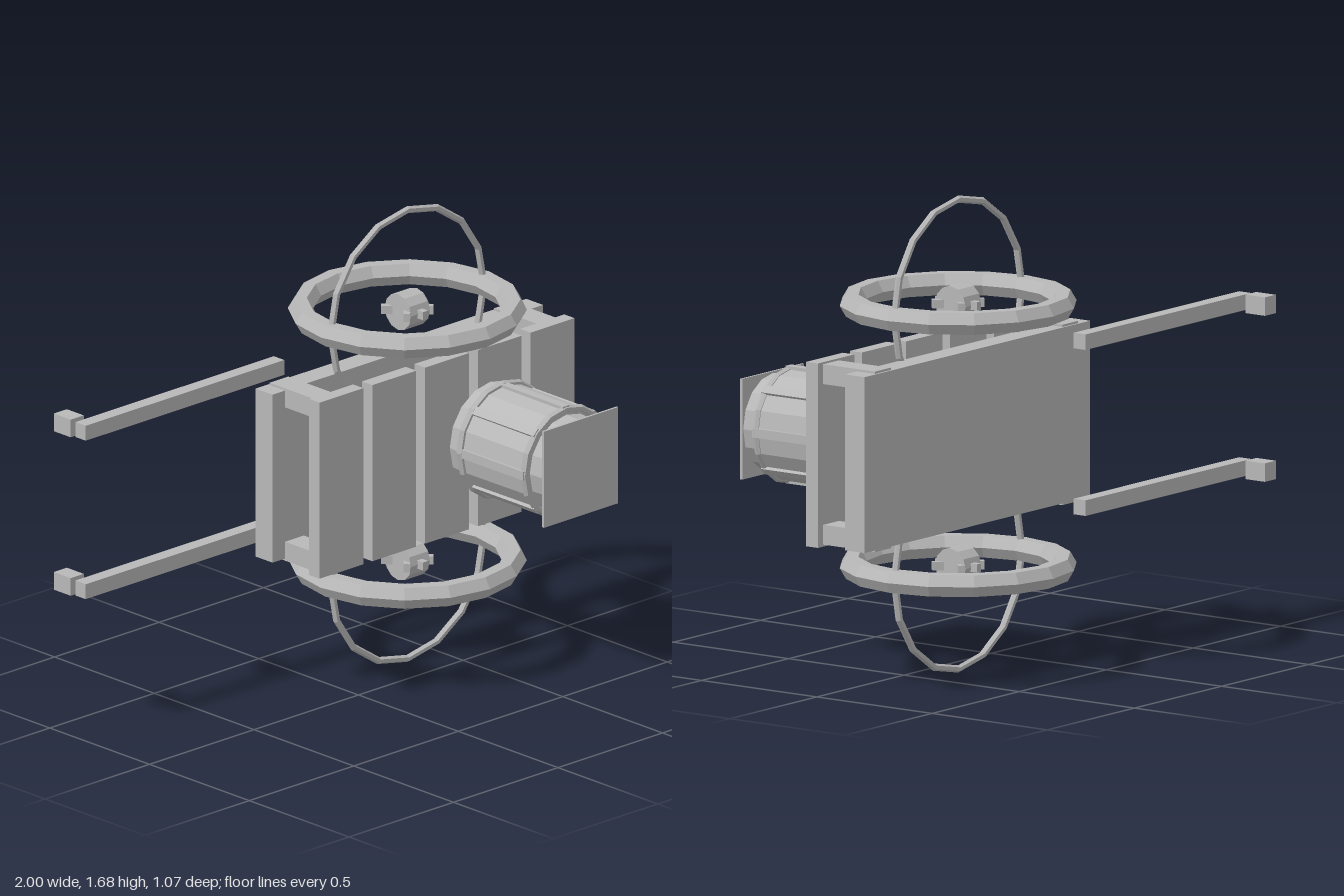
import * as THREE from 'three';

export function createModel() {
  const group = new THREE.Group();
  const grey = new THREE.MeshStandardMaterial({ color: 0xb8b8b8, flatShading: true });
  grey.name = 'plain grey';

  const add = (name, geometry, x, y, z, parent = group) => {
    const mesh = new THREE.Mesh(geometry, grey);
    mesh.name = name;
    mesh.position.set(x, y, z);
    parent.add(mesh);
    return mesh;
  };
  // box given by its limits on each axis
  const box = (name, x0, x1, y0, y1, z0, z1) =>
    add(name, new THREE.BoxGeometry(x1 - x0, y1 - y0, z1 - z0),
      (x0 + x1) / 2, (y0 + y1) / 2, (z0 + z1) / 2);

  const midY = 0.85, wheelX = 0.35, wheelZ = -0.122;

  // cart bed: solid board and five planks
  box('bedBoard', -0.295, 1, 0.54, 1.16, -0.207, -0.122);
  for (let i = 0; i < 5; i++) {
    const x = -0.26 + i * 0.2525;
    box('plank', x, x + 0.21, 0.525, 1.175, 0.025, 0.077);
  }

  // small axle discs between board and planks
  for (const x of [-0.11, 0.81])
    add('axleDisc', new THREE.CylinderGeometry(0.042, 0.042, 0.008, 12).rotateZ(Math.PI / 2), x, midY, wheelZ);

  // everything mirrored about the middle of the cart
  for (const s of [-1, 1]) {
    const pair = (a, b) => [midY + s * a, midY + s * b].sort((p, q) => p - q);

    // corner posts
    for (const x of [-0.235, 0.84])
      box('post', x, x + 0.09, ...pair(0.248, 0.318), -0.2, 0.026);

    // handle and its grip
    box('handle', -0.995, -0.045, ...pair(0.265, 0.32), -0.377, -0.325);
    box('grip', -1, -0.937, ...pair(0.26, 0.325), -0.48, -0.395);

    // wheel rim and the thin crossing hoop
    const y = midY + s * 0.462;
    const wheel = new THREE.Group();
    wheel.name = 'wheel';
    wheel.position.set(wheelX, y, wheelZ);
    group.add(wheel);
    add('rim', new THREE.TorusGeometry(0.37, 0.044, 6, 16).rotateX(Math.PI / 2), 0, 0, 0, wheel);
    add('thinHoop', new THREE.TorusGeometry(0.366, 0.013, 6, 16), 0, 0, 0, wheel);

    // hub with spoke stubs
    add('hub', new THREE.CylinderGeometry(0.066, 0.066, 0.09, 12).rotateZ(Math.PI / 2), 0, 0, 0, wheel);
    for (const degrees of [45, 90, 135, 225, 270, 315]) {
      const a = degrees * Math.PI / 180;
      const stub = add('spokeStub', new THREE.BoxGeometry(0.05, 0.03, 0.024),
        Math.cos(a) * 0.066, 0, Math.sin(a) * 0.066, wheel);
      stub.rotation.y = -a;
    }
  }

  // barrel lying along z
  const barrel = new THREE.Group();
  barrel.name = 'barrel';
  barrel.position.set(0.555, midY, 0);
  group.add(barrel);
  const drum = (name, r0, r1, z0, z1) =>
    add(name, new THREE.CylinderGeometry(r1, r0, z1 - z0, 16).rotateX(Math.PI / 2), 0, 0, (z0 + z1) / 2, barrel);
  drum('barrelBase', 0.195, 0.2, 0.08, 0.14);
  drum('barrelBody', 0.2, 0.198, 0.14, 0.46);
  drum('barrelNeck', 0.175, 0.172, 0.46, 0.527);
  add('barrelLid', new THREE.BoxGeometry(0.355, 0.355, 0.009), 0, 0, 0.53, barrel);
  for (const [z, r] of [[0.14, 0.202], [0.452, 0.194]])
    add('barrelHoop', new THREE.TorusGeometry(r, 0.014, 6, 16), 0, 0, z, barrel);

  // raised ribs around the barrel
  for (let i = 0; i < 8; i++) {
    const a = i * Math.PI / 4;
    const rib = add('barrelRib', new THREE.BoxGeometry(0.016, 0.032, 0.32),
      Math.cos(a) * 0.199, Math.sin(a) * 0.199, 0.3, barrel);
    rib.rotation.z = a;
  }

  return group;
}
